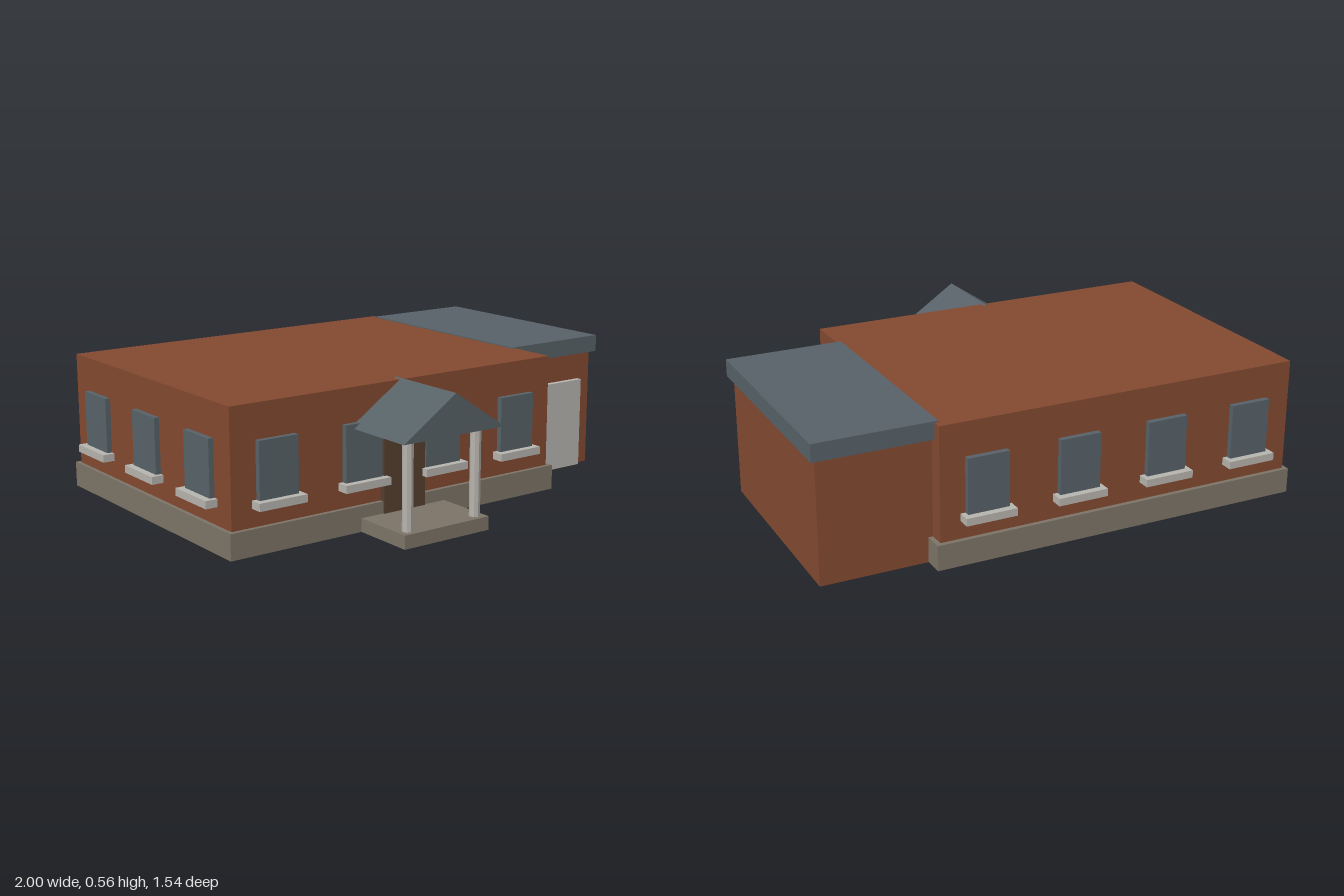
import * as THREE from 'three';

const paint = (name, color) => {
  const m = new THREE.MeshStandardMaterial({ color });
  m.name = name;
  return m;
};

export function createModel() {
  const brick = paint('brick', 0x82492f);
  const slate = paint('slate', 0x566167);
  const stone = paint('stone', 0x7b7366);
  const pale = paint('pale concrete', 0xb6b3ad);
  const wood = paint('dark wood', 0x553e2e);

  const model = new THREE.Group();
  model.name = 'building';

  // Box given by its limits along each axis
  const box = (name, mat, [x0, x1], [y0, y1], [z0, z1], parent = model) => {
    const mesh = new THREE.Mesh(new THREE.BoxGeometry(x1 - x0, y1 - y0, z1 - z0), mat);
    mesh.position.set((x0 + x1) / 2, (y0 + y1) / 2, (z0 + z1) / 2);
    mesh.name = name;
    parent.add(mesh);
    return mesh;
  };

  // Main block on its plinth
  box('mainWalls', brick, [-0.952, 0.541], [0.02, 0.551], [-0.717, 0.45]);
  box('plinth', stone, [-0.968, 0.56], [0, 0.1], [-0.735, 0.468]);

  // Garage wing with flat roof and door
  box('garageWalls', brick, [0.53, 0.979], [0, 0.49], [-0.655, 0.234]);
  box('garageRoof', slate, [0.525, 1], [0.487, 0.556], [-0.679, 0.254]);
  box('garageDoor', pale, [0.602, 0.915], [0, 0.375], [0.22, 0.257]);

  // Window with sill, built facing +z from the wall plane and turned to its wall
  const addWindow = (x, z, turn, width) => {
    const win = new THREE.Group();
    win.name = 'window';
    const w = width / 2;
    box('pane', slate, [-w, w], [0.19, 0.418], [-0.01, 0.023], win);
    box('sill', pale, [-w - 0.019, w + 0.019], [0.17, 0.2], [-0.01, 0.051], win);
    win.position.set(x, 0, z);
    win.rotation.y = turn;
    model.add(win);
  };
  for (const x of [-0.764, -0.39, -0.017, 0.358]) {
    addWindow(x, 0.45, 0, 0.166);
    addWindow(x, -0.717, Math.PI, 0.166);
  }
  for (const z of [-0.525, -0.134, 0.254]) addWindow(-0.95, z, -Math.PI / 2, 0.174);
  addWindow(0.543, 0.254, Math.PI / 2, 0.174);

  // Entrance: door, step and columns
  box('frontDoor', wood, [-0.3, -0.106], [0.05, 0.41], [0.44, 0.474]);
  box('porchStep', stone, [-0.401, -0.006], [0, 0.053], [0.44, 0.73]);
  for (const x of [-0.36, -0.044]) {
    const column = new THREE.Mesh(new THREE.CylinderGeometry(0.021, 0.021, 0.352, 8), pale.clone());
    column.material = pale;
    column.geometry = column.geometry.toNonIndexed();
    column.geometry.computeVertexNormals();
    column.position.set(x, 0.228, 0.692);
    column.name = 'porchColumn';
    model.add(column);
  }

  // Gabled porch roof
  const gable = new THREE.Shape([
    new THREE.Vector2(-0.437, 0.4),
    new THREE.Vector2(0.031, 0.4),
    new THREE.Vector2(-0.203, 0.556),
  ]);
  const roof = new THREE.Mesh(
    new THREE.ExtrudeGeometry(gable, { depth: 0.352, bevelEnabled: false }), slate);
  roof.position.z = 0.415;
  roof.name = 'porchRoof';
  model.add(roof);

  return model;
}
